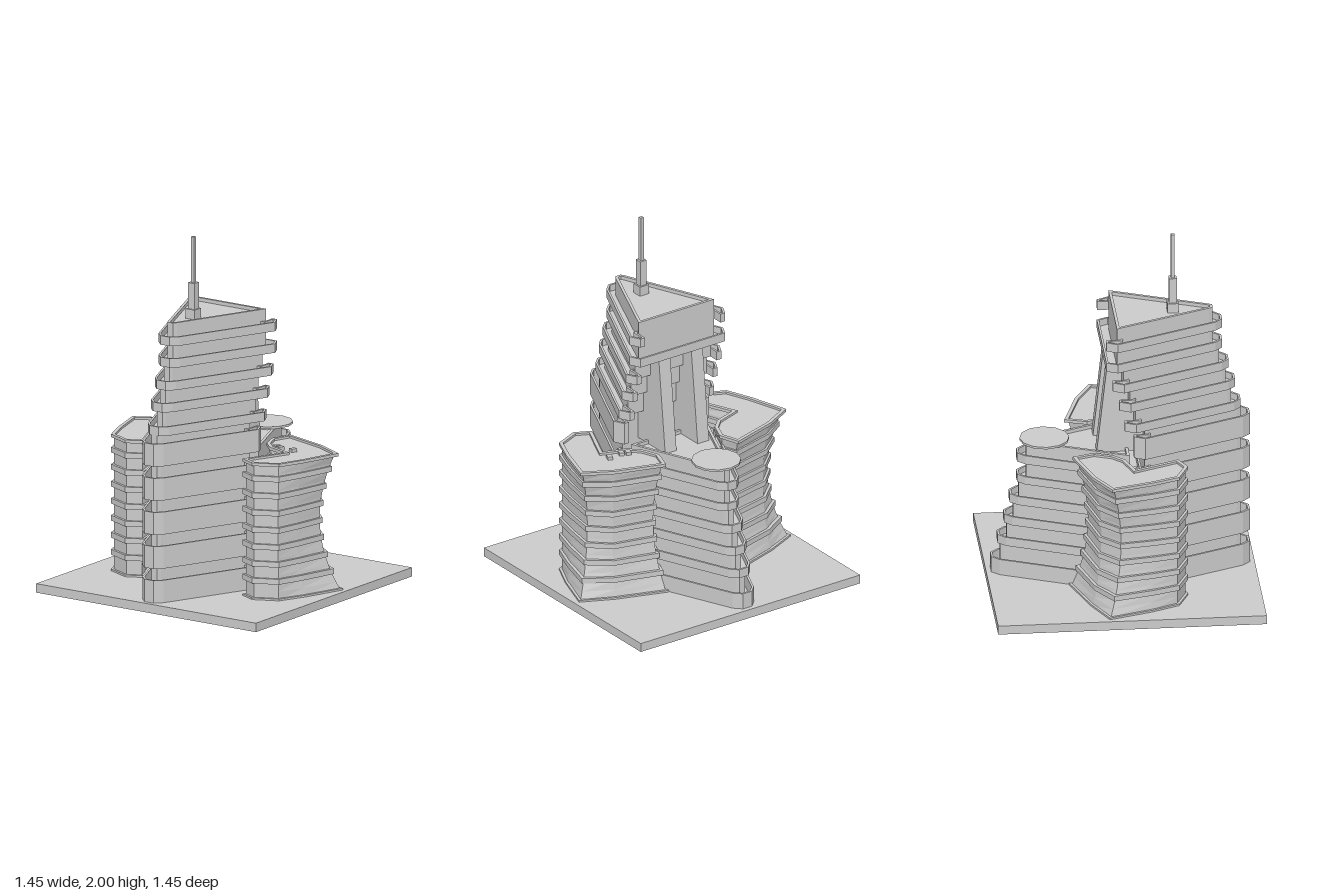
import * as THREE from 'three';

const grey = new THREE.MeshStandardMaterial({ color: 0xcccccc, flatShading: true });
const V = (x, z) => new THREE.Vector2(x, z);

// Plan outline from [x, z] pairs, always wound the same way
function plan(pairs, flipX = 1, flipZ = 1, dx = 0) {
  const p = pairs.map(([x, z]) => V(x * flipX + dx, z * flipZ));
  return THREE.ShapeUtils.area(p) < 0 ? p.reverse() : p;
}

// Move every edge of an outline inward by d
function inset(p, d) {
  const n = p.length;
  return p.map((b, i) => {
    const e1 = b.clone().sub(p[(i + n - 1) % n]).normalize();
    const e2 = p[(i + 1) % n].clone().sub(b).normalize();
    const n1 = V(-e1.y, e1.x), n2 = V(-e2.y, e2.x);
    const k = Math.max(1 + n1.dot(n2), 0.35);
    return b.clone().addScaledVector(n1.add(n2), d / k);
  });
}

// Closed solid through a stack of [outline, height] rings
function loft(rings) {
  const pos = [], n = rings[0][0].length;
  const put = (r, i) => pos.push(rings[r][0][i % n].x, rings[r][1], rings[r][0][i % n].y);
  for (let r = 0; r < rings.length - 1; r++) {
    for (let i = 0; i < n; i++) {
      put(r, i); put(r + 1, i); put(r, i + 1);
      put(r, i + 1); put(r + 1, i); put(r + 1, i + 1);
    }
  }
  const last = rings.length - 1;
  for (const [a, b, c] of THREE.ShapeUtils.triangulateShape(rings[0][0].slice(), [])) {
    put(0, a); put(0, b); put(0, c);
  }
  for (const [a, b, c] of THREE.ShapeUtils.triangulateShape(rings[last][0].slice(), [])) {
    put(last, a); put(last, c); put(last, b);
  }
  const g = new THREE.BufferGeometry();
  g.setAttribute('position', new THREE.Float32BufferAttribute(pos, 3));
  g.computeVertexNormals();
  return g;
}

const prism = (p, y0, y1) => loft([[p, y0], [p, y1]]);

// Slab with a raised parapet round its edge
function tray(p, y0, y1, rim, depth) {
  const q = inset(p, rim);
  return loft([[p, y0], [p, y1], [q, y1], [q, y1 - depth]]);
}

const balcony = (p, y0, y1) => tray(p, y0, y1, 0.012, y1 - y0 - 0.012);

function add(parent, name, geometry, x = 0, y = 0, z = 0) {
  const m = new THREE.Mesh(geometry, grey);
  m.name = name;
  m.position.set(x, y, z);
  parent.add(m);
  return m;
}

function section(parent, name) {
  const g = new THREE.Group();
  g.name = name;
  parent.add(g);
  return g;
}

// Shared triangular floor plan, tip at x = 0
const CORE = [[0.05, 0.018], [0.07, 0.03], [0.59, 0.25], [0.59, -0.25], [0.07, -0.03], [0.05, -0.018]];
const BAND = [[0, 0.03], [0.04, 0.07], [0.59, 0.31], [0.65, 0.28], [0.65, -0.28], [0.59, -0.31], [0.04, -0.07], [0, -0.03]];
// Balcony that leaves the flat end of the core open
const OPEN_BAND = [...BAND.slice(0, 4), [0.65, 0.25], [0.57, 0.25], [0.57, -0.25], [0.65, -0.25], ...BAND.slice(4)];

// Tall tower leaning out floor by floor
function mainTower(root) {
  const g = section(root, 'mainTower');
  add(g, 'lowerCore', prism(plan(CORE, 1, 1, -0.7), 0.05, 0.98));
  for (let i = 0; i < 5; i++) {
    const y = 0.05 + i * 0.19;
    add(g, 'lowerBalcony', balcony(plan(OPEN_BAND, 1, 1, -0.7), y, y + 0.125));
  }
  const floors = [[0.97, -0.65], [1.095, -0.62], [1.21, -0.585], [1.33, -0.55], [1.45, -0.55]];
  floors.forEach(([y, x], i) => {
    const core = plan(CORE, 1, 1, x);
    add(g, 'upperCore', i < 4 ? prism(core, y, floors[i + 1][0] + 0.01) : tray(core, y, 1.566, 0.016, 0.02));
    add(g, 'upperBalcony', balcony(plan(i === 3 ? BAND : OPEN_BAND, 1, 1, x), y, y + 0.05));
  });

  // Sloping fins carrying the overhang
  const fin = new THREE.Shape([V(-0.2, 0.79), V(0.14, 0.79), V(0.08, 1.335), V(-0.05, 1.335)]);
  for (const z of [-0.145, 0.07]) {
    add(g, 'slopingFin', new THREE.ExtrudeGeometry(fin, { depth: 0.075, bevelEnabled: false }), 0, 0, z);
  }

  // Stepped mast
  for (const [w, y0, y1] of [[0.06, 1.54, 1.6], [0.042, 1.6, 1.745], [0.02, 1.745, 2]]) {
    add(g, 'mast', new THREE.BoxGeometry(w, y1 - y0, w), -0.285, (y0 + y1) / 2, 0);
  }
}

// Lower block stepping back as it rises
function steppedBlock(root) {
  const g = section(root, 'steppedBlock');
  const floors = [[0.05, 0.14, 0.7], [0.22, 0.27, 0.665], [0.34, 0.39, 0.63], [0.46, 0.51, 0.6], [0.58, 0.625, 0.56], [0.7, 0.75, 0.56]];
  floors.forEach(([y0, y1, x], i) => {
    const core = plan(CORE, -1, 1, x);
    add(g, 'blockCore', i < 5 ? prism(core, y0, floors[i + 1][0] + 0.01) : tray(core, y0, 0.81, 0.016, 0.02));
    add(g, 'blockBalcony', balcony(plan(BAND, -1, 1, x), y0, y1));
  });
  add(g, 'roofDisc', new THREE.CylinderGeometry(0.135, 0.135, 0.012, 12), 0.41, 0.819, 0);
  add(g, 'discSupport', new THREE.CylinderGeometry(0.06, 0.06, 0.05, 12), 0.41, 0.79, 0);
}

// Wing outline: x, z and how far the point moves in x and z at the waist
const WING = [
  [-0.33, 0.42, 0, 0], [-0.285, 0.325, 0, 0], [-0.045, 0.43, -0.06, -0.07], [0, 0.3, -0.04, 0],
  [0.06, 0.24, 0, 0.01], [0.16, 0.2, -0.02, 0.02], [0.28, 0.24, -0.065, 0.02], [0.195, 0.515, -0.035, -0.01],
  [0.105, 0.682, -0.05, -0.07], [-0.12, 0.615, -0.01, -0.03], [-0.27, 0.555, 0, 0],
];

function wingPlan(y, side) {
  const s = 1 - ((y - 0.45) / (y < 0.45 ? 0.345 : 0.36)) ** 2;
  return plan(WING.map(([x, z, dx, dz]) => [x + dx * s, z + dz * s]), 1, side);
}

// Waisted wing with a ledge at each floor
function wing(root, side) {
  const g = section(root, side > 0 ? 'frontWing' : 'backWing');
  const rings = [];
  for (let i = 0; i <= 16; i++) {
    const y = 0.05 + 0.75 * i / 16;
    rings.push([inset(wingPlan(y, side), 0.014), y]);
  }
  add(g, 'wingCore', loft(rings));
  for (let i = 0; i < 7; i++) {
    const y = 0.14 + i * 0.095;
    add(g, 'wingLedge', prism(wingPlan(y + 0.015, side), y, y + 0.03));
  }
  add(g, 'wingFoot', prism(wingPlan(0.06, side), 0.05, 0.06));
  add(g, 'wingRoof', tray(wingPlan(0.81, side), 0.795, 0.812, 0.02, 0.012));
}

export function createModel() {
  const model = new THREE.Group();
  model.name = 'towerComplex';
  add(model, 'basePlate', new THREE.BoxGeometry(1.454, 0.05, 1.454), 0, 0.025, 0);
  mainTower(model);
  steppedBlock(model);
  for (const side of [1, -1]) wing(model, side);

  // Small roof units on the front wing
  for (const [x, z] of [[0.04, 0.32], [0.025, 0.355], [0.03, 0.435]]) {
    add(model, 'roofUnit', new THREE.BoxGeometry(0.035, 0.03, 0.028), x, 0.803, z).rotation.y = -0.35;
  }
  return model;
}
